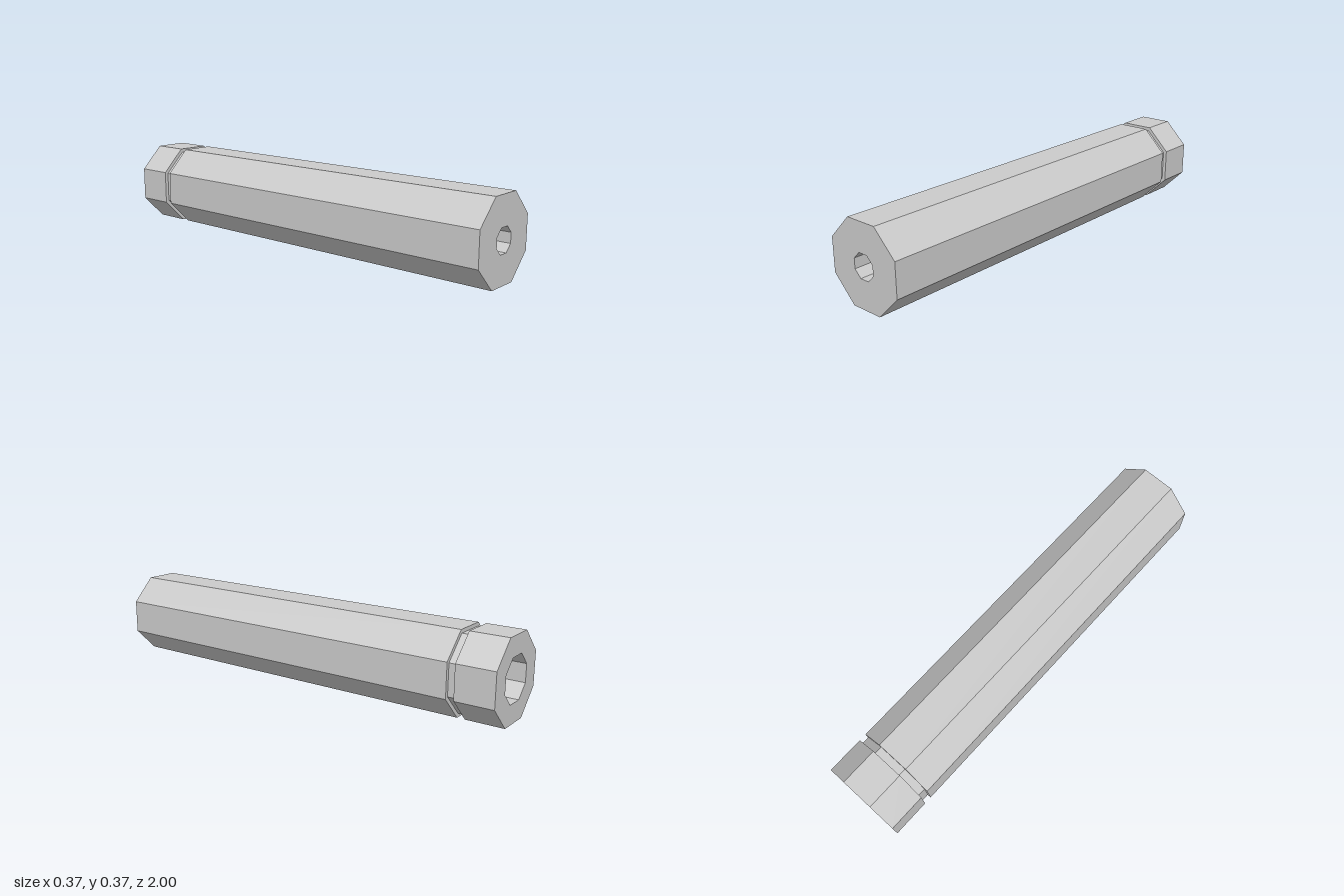
import * as THREE from 'three';

// Apothems (centre to flat) of the octagonal sections
const OUTER = 0.1865, NECK = 0.17, BORE = 0.0545, SOCKET = 0.098;
const GROOVE_FRONT = -0.79, GROOVE_BACK = -0.825, SOCKET_END = -0.6;

export function createModel() {
  const group = new THREE.Group();
  group.name = 'octagonalTube';
  const material = new THREE.MeshStandardMaterial({ color: 0xcccccc, flatShading: true });

  // Sweeps [apothem, z] pairs around the z axis as an eight-sided section;
  // outside surfaces run from back to front, inside ones from front to back
  function addOctagon(name, profile) {
    const points = profile.map(([a, z]) => new THREE.Vector2(a / Math.cos(Math.PI / 8), z));
    const geometry = new THREE.LatheGeometry(points, 8, Math.PI / 8, Math.PI * 2);
    geometry.rotateX(Math.PI / 2);
    const mesh = new THREE.Mesh(geometry, material);
    mesh.name = name;
    mesh.position.y = OUTER;
    group.add(mesh);
  }

  // Long body with its front face
  addOctagon('body', [[NECK, GROOVE_FRONT], [OUTER, GROOVE_FRONT], [OUTER, 1], [BORE, 1]]);

  // Shallow groove separating the body from the rear collar
  addOctagon('groove', [[NECK, GROOVE_BACK], [NECK, GROOVE_FRONT]]);

  // Rear collar with its back face
  addOctagon('rearCollar', [[SOCKET, -1], [OUTER, -1], [OUTER, GROOVE_BACK], [NECK, GROOVE_BACK]]);

  // Narrow through bore
  addOctagon('bore', [[BORE, 1], [BORE, SOCKET_END]]);

  // Wider socket at the rear, stepping down to the bore
  addOctagon('rearSocket', [[BORE, SOCKET_END], [SOCKET, SOCKET_END], [SOCKET, -1]]);

  return group;
}
